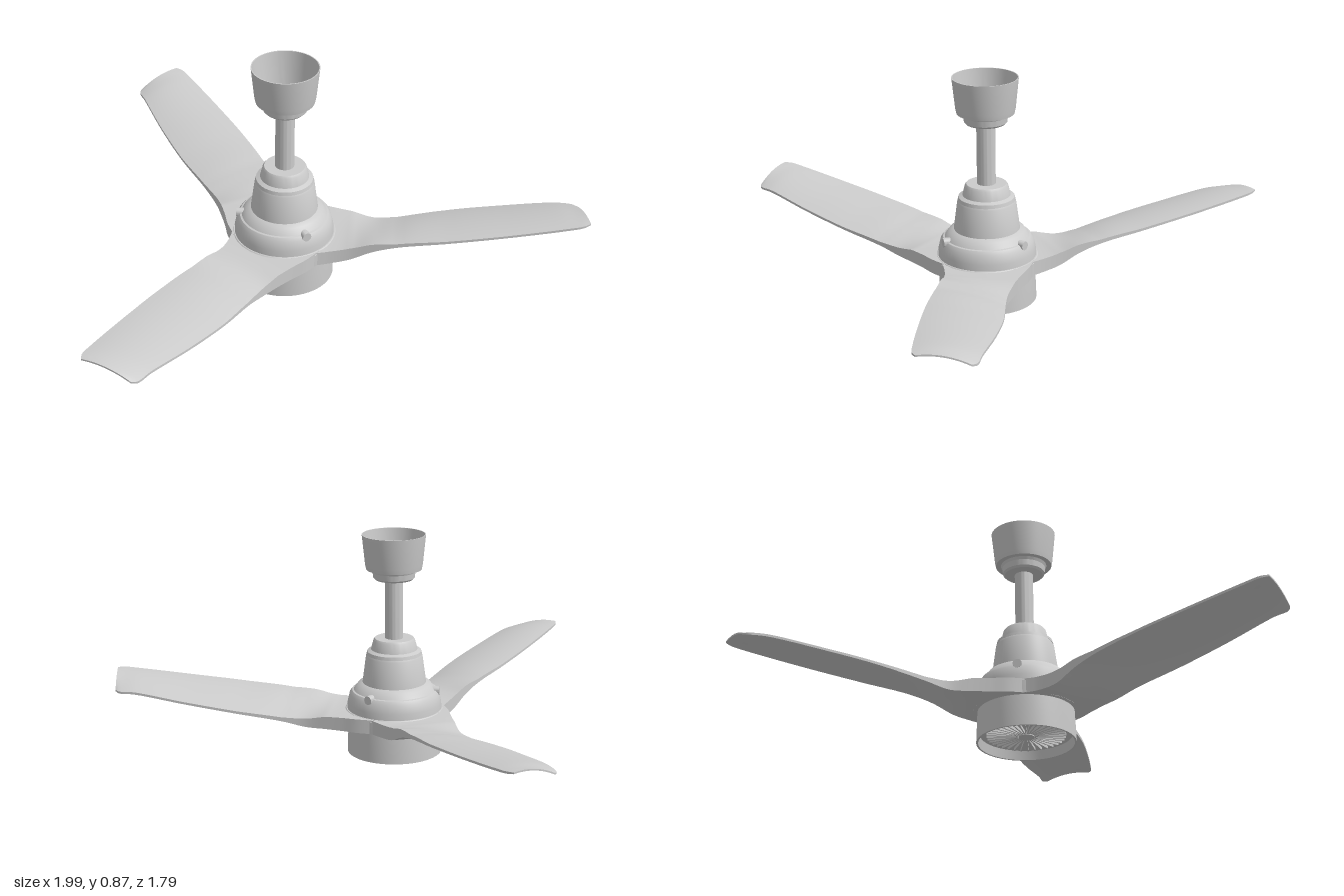
import * as THREE from 'three';
import { toCreasedNormals } from 'three/addons/utils/BufferGeometryUtils.js';

const material = new THREE.MeshStandardMaterial({ color: 0xcccccc, side: THREE.DoubleSide });

function addMesh(parent, geometry, name, crease = 0.6) {
  const mesh = new THREE.Mesh(toCreasedNormals(geometry, crease), material);
  mesh.name = name;
  parent.add(mesh);
  return mesh;
}

// Revolved part from [radius, height] pairs
function lathe(parent, name, profile) {
  const points = profile.map(([r, y]) => new THREE.Vector2(r, y));
  return addMesh(parent, new THREE.LatheGeometry(points, 64), name);
}

// Blade stations: [low edge r, x, y], [high edge r, x, y], thickness; y is the underside
const stations = [
  [[0.04, -0.186, 0.12], [0.04, 0.186, 0.12], 0.055],
  [[0.12, -0.178, 0.12], [0.12, 0.15, 0.12], 0.055],
  [[0.18, -0.162, 0.12], [0.18, 0.128, 0.12], 0.053],
  [[0.25, -0.147, 0.12], [0.25, 0.113, 0.13], 0.05],
  [[0.33, -0.135, 0.121], [0.33, 0.109, 0.165], 0.034],
  [[0.42, -0.142, 0.142], [0.42, 0.107, 0.19], 0.016],
  [[0.6, -0.165, 0.174], [0.6, 0.102, 0.215], 0.01],
  [[0.8, -0.171, 0.205], [0.81, 0.083, 0.24], 0.009],
  [[1.0, -0.165, 0.235], [1.03, 0.055, 0.267], 0.009],
  [[1.063, -0.161, 0.236], [1.095, 0.043, 0.276], 0.008],
  [[1.08, -0.147, 0.24], [1.12, 0.027, 0.28], 0.006],
];

function bladeGeometry(rows = 60, cols = 12) {
  const edge = k => new THREE.CatmullRomCurve3(
    stations.map(s => new THREE.Vector3(s[k][1], s[k][2], -s[k][0])));
  const low = edge(0), high = edge(1);
  const ring = 2 * (cols + 1);
  const position = [], index = [];
  for (let i = 0; i <= rows; i++) {
    const t = i / rows;
    const a = low.getPoint(t), b = high.getPoint(t);
    const f = t * (stations.length - 1), k = Math.min(Math.floor(f), stations.length - 2);
    const thick = THREE.MathUtils.lerp(stations[k][2], stations[k + 1][2], f - k);
    for (let j = 0; j < ring; j++) {
      const top = j <= cols;
      const s = (top ? j : ring - 1 - j) / cols;
      const p = a.clone().lerp(b, s);
      const arch = 4 * s * (1 - s) * 0.014 * THREE.MathUtils.smoothstep(-p.z, 0.25, 0.5);
      position.push(p.x, p.y + arch + (top ? thick : 0), p.z);
    }
  }
  for (let i = 0; i < rows; i++) {
    for (let j = 0; j < ring; j++) {
      const a = i * ring + j, b = i * ring + (j + 1) % ring;
      index.push(a, b, a + ring, b, b + ring, a + ring);
    }
  }
  // Close the tip
  const end = rows * ring;
  for (let j = 0; j < cols; j++) {
    const t0 = end + j, t1 = t0 + 1, b0 = end + ring - 1 - j, b1 = b0 - 1;
    index.push(t0, t1, b0, t1, b1, b0);
  }
  const geometry = new THREE.BufferGeometry();
  geometry.setAttribute('position', new THREE.Float32BufferAttribute(position, 3));
  geometry.setIndex(index);
  return geometry;
}

export function createModel() {
  const model = new THREE.Group();
  model.name = 'ceilingFan';
  const fan = new THREE.Group();
  fan.name = 'fanAssembly';
  fan.position.set(-0.02, 0, 0.22);
  model.add(fan);

  // Open ceiling cup, rod and motor
  lathe(fan, 'canopy', [
    [0.035, 0.69], [0.073, 0.69], [0.08, 0.697], [0.084, 0.73], [0.107, 0.73],
    [0.111, 0.75], [0.123, 0.865], [0.119, 0.865], [0.104, 0.738], [0.09, 0.735],
    [0.076, 0.705], [0.035, 0.7],
  ]);
  lathe(fan, 'downRod', [[0, 0.44], [0.035, 0.44], [0.035, 0.715], [0, 0.715]]);
  lathe(fan, 'motorCap', [
    [0.108, 0.392], [0.105, 0.405], [0.09, 0.412], [0.081, 0.448], [0.075, 0.456], [0.035, 0.456],
  ]);
  lathe(fan, 'motorHousing', [
    [0.185, 0.165], [0.183, 0.2], [0.175, 0.235], [0.165, 0.248], [0.158, 0.25],
    [0.142, 0.272], [0.124, 0.28], [0.11, 0.385], [0.105, 0.394], [0.08, 0.394],
  ]);
  lathe(fan, 'bladeRing', [[0.16, 0.12], [0.197, 0.12], [0.197, 0.168], [0.188, 0.176], [0.16, 0.176]]);

  // Lower housing with a recessed grille
  lathe(fan, 'lowerHousing', [
    [0, 0.035], [0.172, 0.035], [0.178, 0], [0.185, 0], [0.185, 0.006], [0.18, 0.13],
  ]);
  lathe(fan, 'grilleCentre', [[0, 0.022], [0.03, 0.022], [0.03, 0.036]]);
  const grille = new THREE.Group();
  grille.name = 'grille';
  fan.add(grille);
  for (let i = 0; i < 36; i++) {
    const angle = i * Math.PI / 18;
    const rib = addMesh(grille, new THREE.BoxGeometry(0.115, 0.012, 0.005), 'grilleRib');
    rib.position.set(0.09 * Math.cos(angle), 0.03, -0.09 * Math.sin(angle));
    rib.rotation.y = angle;
  }

  // Three blades and the clips between them
  const blade = bladeGeometry();
  for (let i = 0; i < 3; i++) {
    const arm = new THREE.Group();
    arm.name = 'bladeArm';
    arm.rotation.y = i * Math.PI * 2 / 3;
    fan.add(arm);
    addMesh(arm, blade, 'blade', 0.7);
    const clip = addMesh(arm, new THREE.CylinderGeometry(0.017, 0.017, 0.03, 16), 'housingClip');
    clip.rotation.x = Math.PI / 2;
    clip.position.set(0.008, 0.245, 0.162);
  }
  return model;
}
